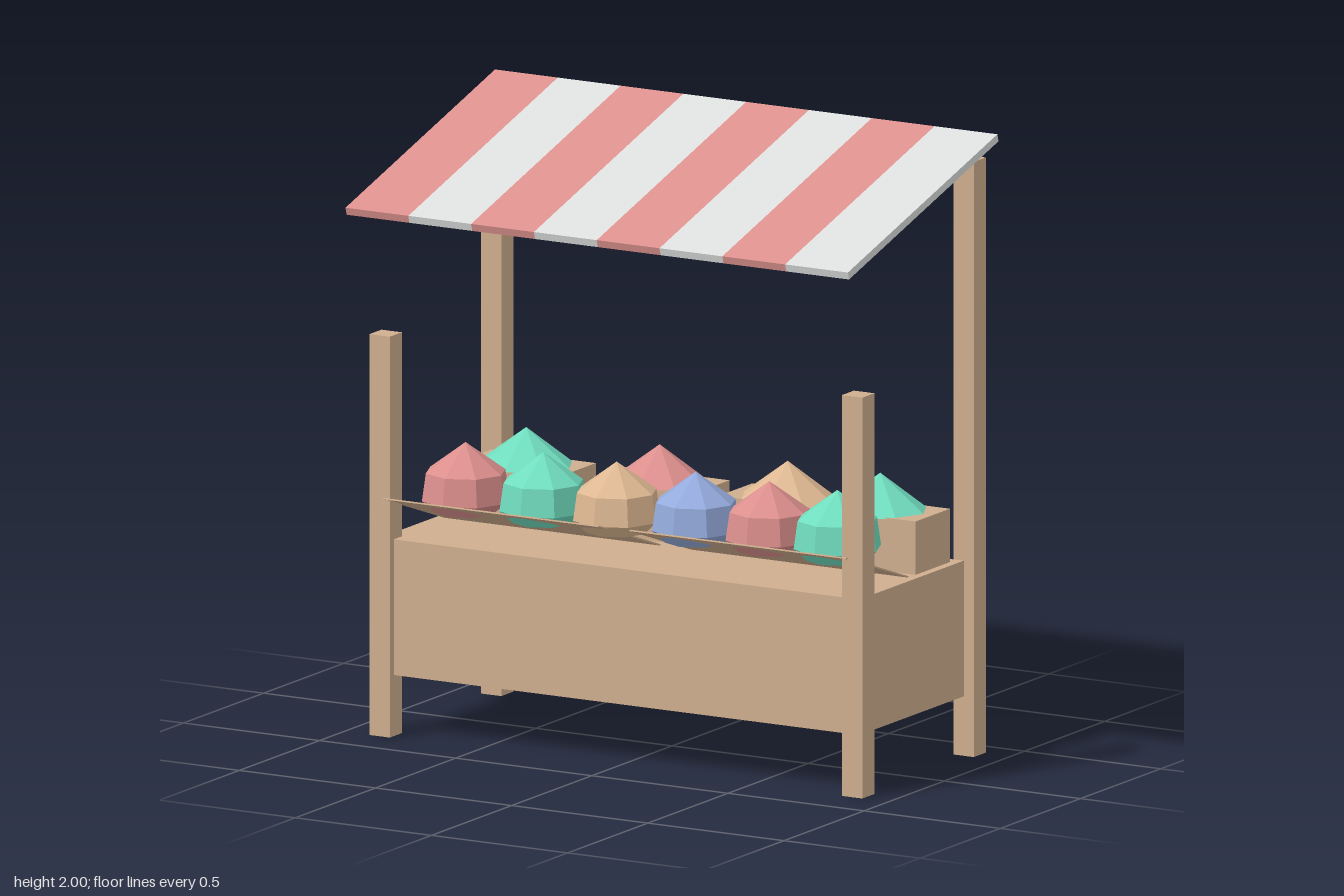
import * as THREE from 'three';

const mat = (name, color) => {
  const m = new THREE.MeshStandardMaterial({ color });
  m.name = name;
  return m;
};

export function createModel() {
  const model = new THREE.Group();
  model.name = 'marketStall';
  const wood = mat('wood', 0xd0ae8e);
  const awningWhite = mat('awningWhite', 0xdcdedd);
  const awningRed = mat('awningRed', 0xdc918d);
  const green = mat('greenGoods', 0x70dcbe);
  const red = mat('redGoods', 0xdc8f8d);
  const blue = mat('blueGoods', 0x94aadc);
  const tan = mat('tanGoods', 0xdeb892);
  for (const m of [green, red, blue, tan]) m.flatShading = true;

  const add = (name, geometry, material, x, y, z, parent = model) => {
    const mesh = new THREE.Mesh(geometry, material);
    mesh.name = name;
    mesh.position.set(x, y, z);
    parent.add(mesh);
    return mesh;
  };
  const box = (w, h, d) => new THREE.BoxGeometry(w, h, d);

  // Posts: short in front, tall at the back
  for (const side of [-1, 1]) {
    add('frontPost', box(0.075, 1.3, 0.075), wood, side * 0.8675, 0.65, 0.3125);
    add('backPost', box(0.075, 1.93, 0.075), wood, side * 0.8675, 0.965, -0.3825);
  }

  // Counter
  add('counter', box(1.76, 0.44, 0.65), wood, 0, 0.418, 0);

  // Sloping display boards, raised at the front edge
  for (const [x0, x1] of [[-0.85, -0.06], [0.055, 0.85]]) {
    const board = add('displayBoard', box(x1 - x0, 0.005, 0.41), wood, (x0 + x1) / 2, 0.7065, 0.1635);
    board.rotation.x = -0.336;
  }

  // Faceted heaps on the boards
  const heap = new THREE.LatheGeometry(
    [[0, 0], [0.1, 0], [0.143, 0.04], [0.13, 0.13], [0, 0.225]].map(([r, y]) => new THREE.Vector2(r, y)), 8);
  [[-0.655, red], [-0.37, green], [-0.1, tan], [0.19, blue], [0.46, red], [0.71, green]]
    .forEach(([x, m]) => add('goodsHeap', heap, m, x, 0.72, 0.175));

  // Crates at the back, each topped with a low heap
  const crateHeap = new THREE.ConeGeometry(0.14, 0.12, 8).scale(1.17, 1, 1);
  [[-0.64, green], [-0.15, red], [0.32, tan], [0.66, green]].forEach(([x, m]) => {
    add('crate', box(0.385, 0.174, 0.215), wood, x, 0.724, -0.178);
    add('crateHeap', crateHeap, m, x, 0.867, -0.178);
  });

  // Striped awning sloping down to the front
  const awning = new THREE.Group();
  awning.name = 'awning';
  awning.position.set(0, 1.853, 0);
  awning.rotation.x = 0.28;
  model.add(awning);
  const stripe = 1.845 / 8;
  for (let i = 0; i < 8; i++) {
    add('awningStripe', box(stripe, 0.025, 0.97), i % 2 ? awningWhite : awningRed,
      (i - 3.5) * stripe, 0, 0, awning);
  }
  return model;
}
